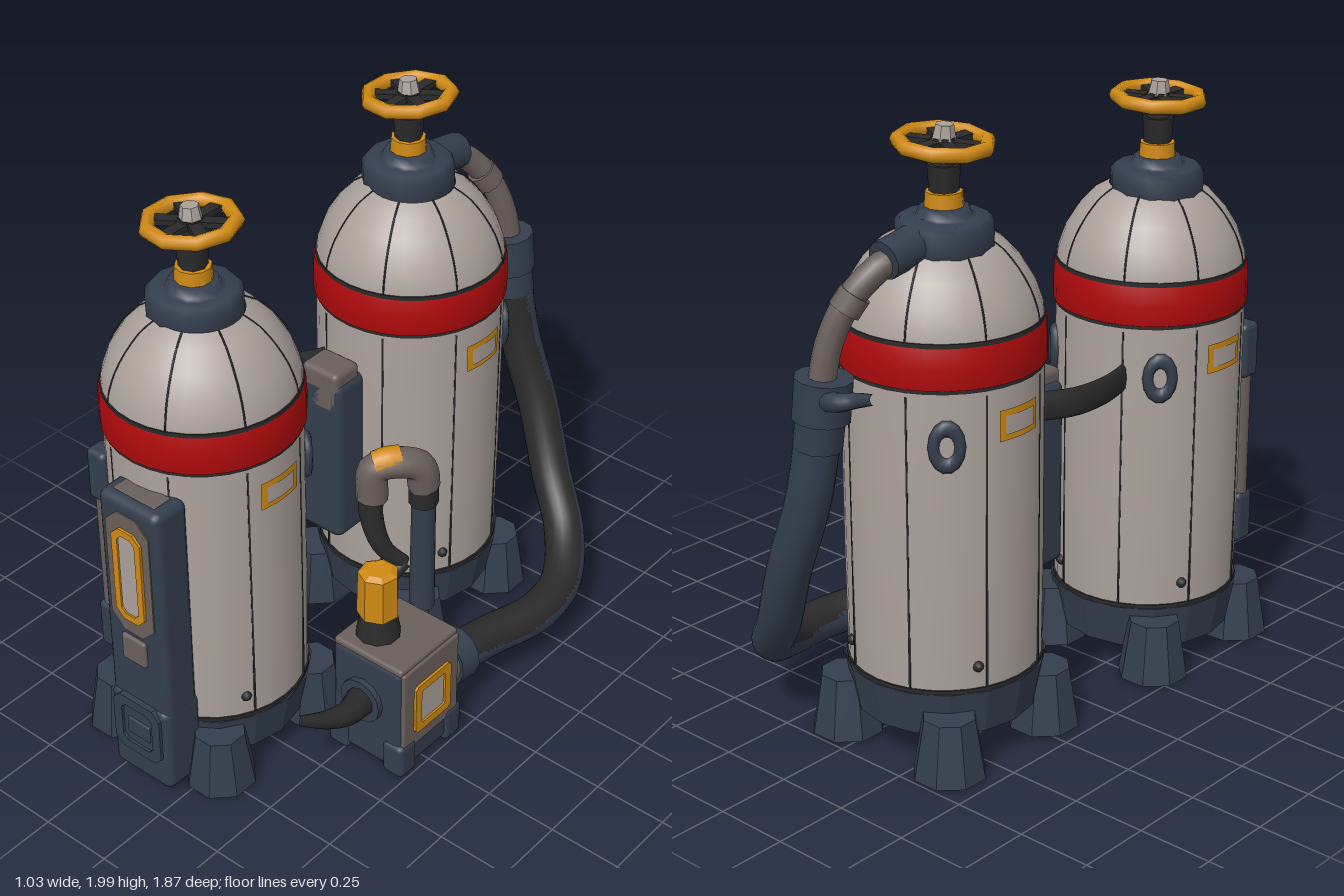
import * as THREE from 'three';
import { RoundedBoxGeometry } from 'three/addons/geometries/RoundedBoxGeometry.js';

const paint = (name, color) => Object.assign(new THREE.MeshStandardMaterial({ color }), { name });
const V = (p) => new THREE.Vector3(...p);

export function createModel() {
  const shell = paint('warm grey shell', 0xaba19b);
  const slate = paint('slate blue', 0x333e4d);
  const red = paint('red band', 0xb00a0c);
  const orange = paint('orange', 0xd08a14);
  const dark = paint('dark rubber', 0x2a2a2b);
  const brown = paint('worn brown metal', 0x6a5f5b);
  const model = new THREE.Group();
  model.name = 'twinTankStation';

  const add = (parent, name, geo, mat, x = 0, y = 0, z = 0) => {
    const m = new THREE.Mesh(geo, mat);
    m.name = name;
    m.position.set(x, y, z);
    parent.add(m);
    return m;
  };
  const flat = (geo) => {
    const g = geo.toNonIndexed();
    g.computeVertexNormals();
    return g;
  };
  const cyl = (r1, r2, h, n = 16) => new THREE.CylinderGeometry(r1, r2, h, n);
  const box = (w, h, d, r = 0.02) => new RoundedBoxGeometry(w, h, d, 2, r);
  const lathe = (pts, n = 32) => new THREE.LatheGeometry(pts.map((p) => new THREE.Vector2(...p)), n);
  const curve = (pts) => new THREE.CatmullRomCurve3(pts.map(V));
  const tube = (pts, r, seg = 16, n = 10) => new THREE.TubeGeometry(curve(pts), seg, r, n);

  // Pipe whose radius changes evenly from r0 to r1
  const taperTube = (pts, r0, r1, seg = 12, n = 10) => {
    const c = curve(pts), g = new THREE.TubeGeometry(c, seg, 1, n), p = g.attributes.position;
    for (let i = 0; i < p.count; i++) {
      const t = Math.floor(i / (n + 1)) / seg, o = c.getPointAt(t);
      const v = new THREE.Vector3().fromBufferAttribute(p, i).sub(o).multiplyScalar(r0 + (r1 - r0) * t).add(o);
      p.setXYZ(i, v.x, v.y, v.z);
    }
    return g;
  };
  // Straight collar between two points
  const sleeve = (parent, name, a, b, r, mat) => {
    const d = V(b).sub(V(a));
    const m = add(parent, name, cyl(r, r, d.length(), 12), mat);
    m.position.copy(V(a).addScaledVector(d, 0.5));
    m.quaternion.setFromUnitVectors(new THREE.Vector3(0, 1, 0), d.normalize());
  };
  // Plate outline with cut corners, and a frame made from two of them
  const outline = (w, h, c) => [[-w, -h + c], [-w + c, -h], [w - c, -h], [w, -h + c], [w, h - c], [w - c, h], [-w + c, h], [-w, h - c]]
    .map(([x, y]) => new THREE.Vector2(x, y));
  const plate = (w, h, c, depth) =>
    new THREE.ExtrudeGeometry(new THREE.Shape(outline(w / 2, h / 2, c)), { depth, bevelEnabled: false });
  const frame = (w, h, b, c, depth) => {
    const s = new THREE.Shape(outline(w / 2, h / 2, c));
    s.holes.push(new THREE.Path(outline(w / 2 - b, h / 2 - b, c * 0.6).reverse()));
    return new THREE.ExtrudeGeometry(s, { depth, bevelEnabled: false });
  };

  const domeProfile = [[0.309, 1.35], [0.304, 1.4], [0.28, 1.47], [0.24, 1.535], [0.19, 1.59], [0.14, 1.62]];

  function tank(name, x, lift, z, topX, topZ, tilt) {
    const g = new THREE.Group();
    g.name = name;
    g.position.set(x, lift, z);
    model.add(g);
    add(g, 'body', lathe([[0.3, 0.2], [0.305, 0.25], [0.309, 0.6], [0.309, 1.22], [0.297, 1.25]]), shell);
    add(g, 'dome', lathe(domeProfile), shell);
    add(g, 'base', flat(cyl(0.318, 0.29, 0.15, 16)), slate, 0, 0.17, 0);
    add(g, 'baseGroove', cyl(0.311, 0.311, 0.015, 32), dark, 0, 0.25, 0);
    add(g, 'bandGroove', cyl(0.311, 0.311, 0.155, 32), dark, 0, 1.3, 0);
    add(g, 'redBand', lathe([[0.308, 1.232], [0.317, 1.236], [0.318, 1.3], [0.315, 1.362], [0.305, 1.366]]), red);

    // Panel seams on body and dome
    for (let i = 0; i < 8; i++) {
      const s = new THREE.Group();
      s.name = 'panelSeam';
      s.rotation.y = (i + 0.5) * Math.PI / 4;
      g.add(s);
      add(s, 'bodySeam', new THREE.BoxGeometry(0.006, 0.96, 0.006), dark, 0, 0.73, 0.307);
      add(s, 'domeSeam', tube(domeProfile.map(([r, y]) => [0, y, r]), 0.003, 10, 4), dark);
    }
    // Four tapered feet on the diagonals
    for (let i = 0; i < 4; i++) {
      const a = Math.PI / 4 + i * Math.PI / 2;
      const foot = add(g, 'foot', flat(cyl(0.085, 0.118, 0.2, 8).rotateY(Math.PI / 8)), slate,
        Math.sin(a) * 0.312, 0.115 - lift, Math.cos(a) * 0.312);
      foot.rotation.y = a;
      add(g, 'bolt', new THREE.SphereGeometry(0.018, 8, 6), dark, Math.sin(a + 0.3) * 0.304, 0.33, Math.cos(a + 0.3) * 0.304);
    }
    // Curved labels on both sides, oval ports on the rear diagonals
    for (const side of [-1, 1]) {
      const arc = (r, h, w) => new THREE.CylinderGeometry(r, r, h, 8, 1, true, side * Math.PI / 2 - w / 2, w);
      add(g, 'labelFrame', arc(0.314, 0.098, 0.52), orange, 0, 1.105, 0);
      add(g, 'labelPlate', arc(0.317, 0.06, 0.38), shell, 0, 1.105, 0);
      const port = new THREE.Group();
      port.name = 'ovalPort';
      const a = side * Math.PI * 0.75;
      port.position.set(Math.sin(a) * 0.311, 1.06, Math.cos(a) * 0.311);
      port.rotation.y = a;
      port.scale.y = 1.5;
      g.add(port);
      add(port, 'portRing', new THREE.TorusGeometry(0.039, 0.018, 8, 14), slate);
      add(port, 'portFace', new THREE.CircleGeometry(0.035, 14), shell, 0, 0, 0.004);
    }
    // Valve with handwheel
    const v = new THREE.Group();
    v.name = 'valve';
    v.position.set(topX, 0, topZ);
    g.add(v);
    add(v, 'collar', lathe([[0.13, 1.57], [0.15, 1.59], [0.152, 1.665], [0.135, 1.685], [0.1, 1.685], [0.085, 1.69], [0.075, 1.715], [0, 1.715]], 12), slate);
    add(v, 'stemRing', cyl(0.057, 0.06, 0.045, 10), orange, 0, 1.737, 0);
    add(v, 'stemNut', cyl(0.05, 0.045, 0.08, 8), dark, 0, 1.8, 0);
    add(v, 'stem', cyl(0.038, 0.038, 0.1, 8), dark, 0, 1.87, 0);
    const w = new THREE.Group();
    w.name = 'handwheel';
    w.position.y = 1.905;
    w.rotation.z = tilt;
    v.add(w);
    add(w, 'rim', new THREE.TorusGeometry(0.134, 0.024, 8, 9).rotateX(Math.PI / 2), orange);
    for (let i = 0; i < 6; i++) {
      const spoke = add(w, 'spoke', new THREE.BoxGeometry(0.04, 0.018, 0.11).translate(0, 0, 0.075), dark);
      spoke.rotation.y = i * Math.PI / 3;
    }
    add(w, 'hub', flat(cyl(0.028, 0.038, 0.05, 7)), shell, 0, 0.03, 0);
  }
  tank('frontTank', -0.19, 0, 0.52, -0.02, -0.005, 0.05);
  tank('rearTank', -0.135, 0.037, -0.415, -0.035, -0.025, 0.08);

  // Gauge column on the front tank
  const gauge = new THREE.Group();
  gauge.name = 'gaugeColumn';
  gauge.position.set(-0.145, 0, 0.85);
  model.add(gauge);
  add(gauge, 'column', box(0.25, 0.82, 0.14, 0.03), slate, 0, 0.73, -0.005);
  add(gauge, 'columnTop', box(0.17, 0.008, 0.07, 0.003), brown, 0, 1.139, -0.005);
  add(gauge, 'gaugeSurround', plate(0.18, 0.46, 0.05, 0.008), brown, 0, 0.865, 0.061);
  add(gauge, 'gaugeFrame', frame(0.12, 0.35, 0.024, 0.03, 0.012), orange, 0, 0.865, 0.066);
  add(gauge, 'gaugeWindow', plate(0.085, 0.32, 0.02, 0.006), shell, 0, 0.865, 0.066);
  add(gauge, 'button', box(0.1, 0.1, 0.03, 0.01), brown, 0, 0.57, 0.063);
  add(gauge, 'footBox', box(0.25, 0.33, 0.16, 0.03), slate, 0, 0.2, -0.005);
  add(gauge, 'footFrame', frame(0.2, 0.22, 0.035, 0.03, 0.02), slate, 0, 0.25, 0.065);
  add(gauge, 'footLatch', box(0.1, 0.07, 0.03, 0.01), slate, 0, 0.24, 0.066);

  // Vertical side pipe beside the gauge
  add(model, 'sidePipe', cyl(0.033, 0.033, 0.5, 10), brown, -0.405, 0.73, 0.75);
  add(model, 'sidePipeTop', box(0.08, 0.19, 0.08), slate, -0.405, 1.04, 0.75);
  add(model, 'sidePipeBottom', box(0.075, 0.18, 0.08), slate, -0.405, 0.44, 0.75);

  // Column on the front of the rear tank and strap joining the tanks
  add(model, 'rearColumn', box(0.18, 0.62, 0.14, 0.03), slate, -0.17, 0.79, -0.055);
  add(model, 'rearColumnCap', box(0.15, 0.16, 0.12), brown, -0.165, 1.06, -0.045);
  const strap = tube([[0, 0, -0.14], [-0.06, 0, -0.02], [-0.065, 0, 0.12], [-0.03, 0, 0.27]], 0.014, 14, 8);
  strap.scale(1, 3.5, 1);
  add(model, 'tankStrap', strap, dark, -0.27, 1.055, 0);

  // Bent pipe between the tanks
  add(model, 'bentPipeLower', cyl(0.042, 0.045, 0.44, 10), slate, 0.185, 0.5, -0.1);
  add(model, 'bentPipeNut', cyl(0.05, 0.05, 0.09, 8), dark, 0.185, 0.755, -0.1);
  add(model, 'bentPipeElbow', tube([[0.185, 0.78, -0.1], [0.18, 0.86, -0.085], [0.14, 0.89, -0.03], [0.085, 0.875, 0.03], [0.08, 0.76, 0.04]], 0.054), brown);
  add(model, 'bentPipeMark', tube([[0.14, 0.903, -0.03], [0.115, 0.903, 0.002], [0.088, 0.889, 0.032]], 0.047, 6), orange);
  add(model, 'bentPipeTail', taperTube([[0.08, 0.8, 0.042], [0.085, 0.68, 0.045], [0.12, 0.56, 0.025], [0.16, 0.49, -0.03]], 0.047, 0.025), dark);
  add(model, 'pumpPipe', tube([[0.16, 0.49, -0.03], [0.145, 0.42, 0.06], [0.21, 0.35, 0.15]], 0.026), dark);

  // Pump box
  const pump = new THREE.Group();
  pump.name = 'pump';
  pump.position.set(0.34, 0, 0.23);
  model.add(pump);
  add(pump, 'pumpBody', box(0.29, 0.43, 0.3, 0.03), slate, 0, 0.235, 0);
  add(pump, 'pumpTop', box(0.28, 0.03, 0.29, 0.012), brown, 0, 0.442, 0);
  add(pump, 'pumpSide', box(0.02, 0.33, 0.28, 0.008), brown, 0.14, 0.275, 0);
  for (const sx of [-1, 1]) for (const sz of [-1, 1])
    add(pump, 'cornerBlock', box(0.085, 0.13, 0.085, 0.02), slate, sx * 0.113, 0.075, sz * 0.117);
  const pane = add(pump, 'sideWindowFrame', frame(0.18, 0.195, 0.03, 0.012, 0.014), orange, 0.145, 0.265, 0);
  pane.rotation.y = Math.PI / 2;
  add(pump, 'sideWindow', new THREE.BoxGeometry(0.008, 0.15, 0.13), shell, 0.148, 0.265, 0);
  add(pump, 'capNeck', cyl(0.06, 0.075, 0.09, 10), dark, -0.045, 0.5, 0.035);
  add(pump, 'cap', flat(cyl(0.066, 0.07, 0.16, 7)), orange, -0.045, 0.622, 0.035);
  add(pump, 'capTop', flat(cyl(0.045, 0.066, 0.012, 7)), orange, -0.045, 0.708, 0.035);
  sleeve(pump, 'nozzleCollar', [-0.01, 0.27, 0.13], [-0.01, 0.27, 0.17], 0.08, slate);
  add(pump, 'nozzle', taperTube([[-0.01, 0.27, 0.15], [0, 0.275, 0.24], [-0.02, 0.29, 0.32], [-0.06, 0.325, 0.41]], 0.055, 0.016), dark);

  // Main hose: dark on the inner upper side, slate on the outer lower side
  const hosePath = [[0.37, 0.21, 0.08], [0.4, 0.195, -0.18], [0.445, 0.185, -0.4], [0.42, 0.2, -0.58], [0.32, 0.28, -0.73],
    [0.2, 0.42, -0.81], [0.09, 0.65, -0.862], [0, 0.9, -0.86], [-0.04, 1.14, -0.845]];
  const hose = tube(hosePath, 0.07, 96, 24);
  const parts = [[], []], idx = hose.index.array, n = hose.attributes.normal;
  const inner = V([0, 0.75, 0.66]);
  for (let i = 0; i < idx.length; i += 3) {
    const d = new THREE.Vector3();
    for (let k = 0; k < 3; k++) d.add(new THREE.Vector3().fromBufferAttribute(n, idx[i + k]));
    parts[d.dot(inner) > 0.6 ? 0 : 1].push(idx[i], idx[i + 1], idx[i + 2]);
  }
  hose.setIndex([...parts[0], ...parts[1]]);
  hose.addGroup(0, parts[0].length, 0);
  hose.addGroup(parts[0].length, parts[1].length, 1);
  add(model, 'mainHose', hose, [dark, slate]);
  sleeve(model, 'hosePumpRing', [0.37, 0.21, 0.09], [0.373, 0.21, 0.02], 0.08, brown);
  sleeve(model, 'hosePumpCollar', [0.373, 0.21, 0.02], [0.38, 0.205, -0.06], 0.092, slate);

  // Coupling and pipe up to the rear valve
  sleeve(model, 'hoseCoupling', [-0.035, 1.08, -0.848], [-0.05, 1.2, -0.843], 0.077, slate);
  sleeve(model, 'couplingRim', [-0.048, 1.17, -0.843], [-0.059, 1.3, -0.838], 0.09, slate);
  add(model, 'couplingSpout', taperTube([[-0.06, 1.25, -0.86], [-0.15, 1.255, -0.88], [-0.21, 1.27, -0.855], [-0.28, 1.29, -0.855]], 0.04, 0.016), slate);
  add(model, 'upperPipe', tube([[-0.055, 1.28, -0.845], [-0.07, 1.4, -0.825], [-0.11, 1.53, -0.78], [-0.155, 1.62, -0.7], [-0.165, 1.65, -0.62]], 0.042), brown);
  sleeve(model, 'pipeJoint', [-0.1, 1.5, -0.79], [-0.12, 1.55, -0.762], 0.05, brown);
  sleeve(model, 'valveOutlet', [-0.167, 1.67, -0.52], [-0.165, 1.64, -0.69], 0.06, slate);

  return model;
}
